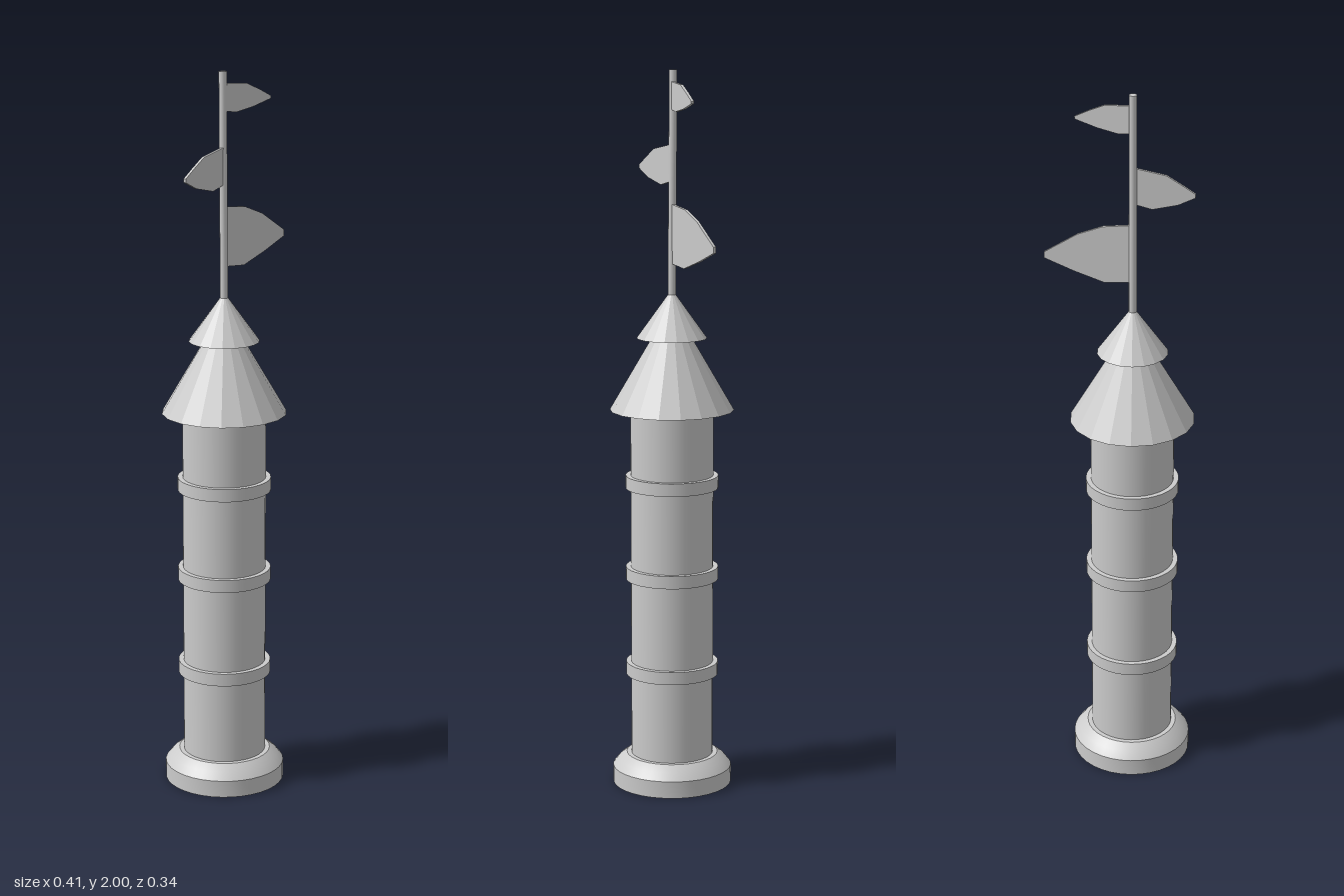
import * as THREE from 'three';
import { toCreasedNormals } from 'three/addons/utils/BufferGeometryUtils.js';

const smooth = new THREE.MeshStandardMaterial({ color: 0xcccccc });
const faceted = new THREE.MeshStandardMaterial({ color: 0xcccccc, flatShading: true });

export function createModel() {
  const model = new THREE.Group();
  model.name = 'flagTower';
  const tower = new THREE.Group();
  tower.name = 'tower';
  tower.position.x = -0.036;
  model.add(tower);

  const add = (name, geometry, material, y = 0) => {
    const mesh = new THREE.Mesh(geometry, material);
    mesh.name = name;
    mesh.position.y = y;
    tower.add(mesh);
    return mesh;
  };
  const drum = (name, radius, bottom, top, sides = 36) =>
    add(name, new THREE.CylinderGeometry(radius, radius, top - bottom, sides), smooth, (bottom + top) / 2);

  // Plinth with a sloping shoulder
  const profile = [[0, 0], [0.167, 0], [0.167, 0.048], [0.15, 0.069], [0.128, 0.085], [0, 0.085]]
    .map(([r, y]) => new THREE.Vector2(r, y));
  add('base', toCreasedNormals(new THREE.LatheGeometry(profile, 36), 0.4), smooth);

  // Shaft and its raised bands
  drum('shaft', 0.115, 0.08, 1.08);
  [0.334, 0.608, 0.868].forEach((y, i) => drum('band' + (i + 1), 0.129, y - 0.018, y + 0.018));

  // Two stacked faceted roofs
  const roof = (name, radius, bottom, top) => {
    const cone = add(name, new THREE.ConeGeometry(radius, top - bottom, 18), faceted, (bottom + top) / 2);
    cone.rotation.y = Math.PI / 2;
  };
  roof('lowerRoof', 0.172, 1.07, 1.365);
  roof('upperRoof', 0.097, 1.27, 1.405);

  // Flagpole, leaning very slightly back
  const pole = drum('flagpole', 0.011, 1.37, 2, 12);
  pole.rotation.x = -0.007;
  pole.position.z = -0.002;

  // Pennants: outlines measured from the pole axis, turned a little about it
  const flag = (name, points, turn) => {
    const shape = new THREE.Shape(points.map(([x, y]) => new THREE.Vector2(x, y)));
    const geometry = new THREE.ExtrudeGeometry(shape, { depth: 0.008, bevelEnabled: false });
    geometry.translate(0, 0, -0.004);
    add(name, geometry, faceted).rotation.y = turn;
  };
  flag('largeFlag', [[0, 1.476], [0.076, 1.469], [0.16, 1.496], [0.241, 1.527], [0.241, 1.544],
    [0.15, 1.602], [0.081, 1.629], [0, 1.639]], 0);
  flag('middleFlag', [[0, 1.7], [0, 1.8], [-0.088, 1.783], [-0.131, 1.757], [-0.165, 1.735],
    [-0.165, 1.725], [-0.12, 1.703], [-0.051, 1.687]], 0.07);
  flag('topFlag', [[0, 1.895], [0.039, 1.889], [0.098, 1.899], [0.161, 1.916], [0.161, 1.923],
    [0.124, 1.942], [0.077, 1.963], [0, 1.969]], -0.14);

  return model;
}
